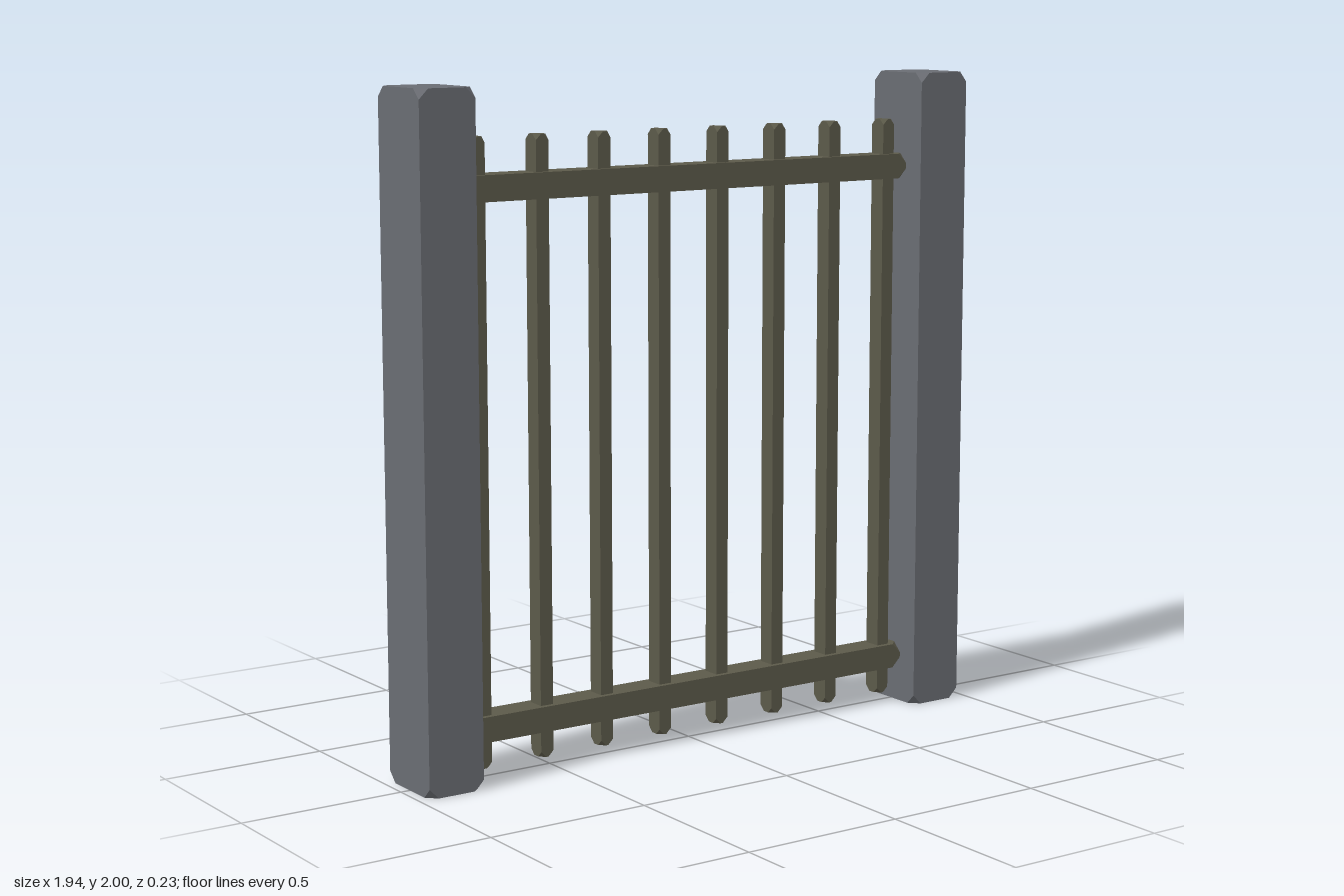
import * as THREE from 'three';
import { ConvexGeometry } from 'three/addons/geometries/ConvexGeometry.js';

// Box whose eight corners are sliced off, leaving its edges sharp
function cutCornerBox(w, h, d, cut) {
  const points = [];
  for (const sx of [-1, 1]) for (const sy of [-1, 1]) for (const sz of [-1, 1]) {
    for (let axis = 0; axis < 3; axis++) {
      const p = [w / 2, h / 2, d / 2];
      p[axis] -= cut;
      points.push(new THREE.Vector3(sx * p[0], sy * p[1], sz * p[2]));
    }
  }
  return new ConvexGeometry(points);
}

export function createModel() {
  const group = new THREE.Group();
  group.name = 'fenceGate';
  const stone = new THREE.MeshStandardMaterial({ color: 0x6a6d73, flatShading: true });
  const iron = new THREE.MeshStandardMaterial({ color: 0x5c5a4a, flatShading: true });

  const add = (name, geometry, material, x, y) => {
    const mesh = new THREE.Mesh(geometry, material);
    mesh.name = name;
    mesh.position.set(x, y, 0);
    group.add(mesh);
  };

  // Stone posts
  const post = cutCornerBox(0.178, 2, 0.23, 0.03);
  add('leftPost', post, stone, 0.882, 1);
  add('rightPost', post, stone, -0.882, 1);

  // Horizontal rails
  const rail = cutCornerBox(1.59, 0.076, 0.088, 0.032);
  add('topRail', rail, iron, 0, 1.712);
  add('bottomRail', rail, iron, 0, 0.15);

  // Vertical bars passing through both rails
  const bar = cutCornerBox(0.042, 1.826, 0.056, 0.017);
  for (let i = 0; i < 8; i++) {
    add(`bar${i + 1}`, bar, iron, (i - 3.5) * 0.21, 0.944);
  }
  return group;
}
